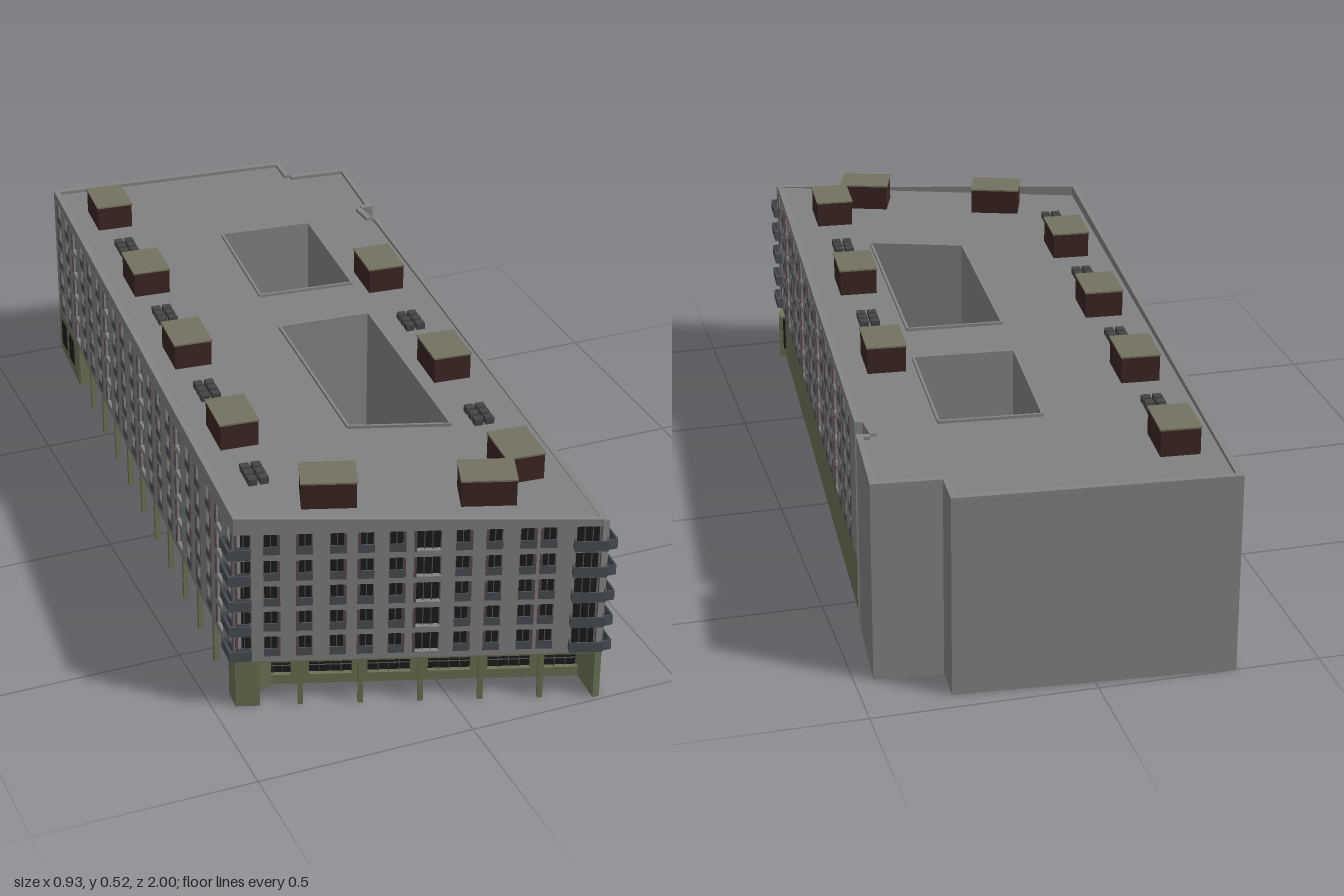
import * as THREE from 'three';
import { mergeGeometries } from 'three/addons/utils/BufferGeometryUtils.js';

const mat = (color) => new THREE.MeshStandardMaterial({ color, side: THREE.DoubleSide });
const M = {
  wall: mat(0x858383), roof: mat(0x808080), floor: mat(0x5a5a5a), green: mat(0x6b7355),
  brown: mat(0x3c2622), hatch: mat(0x74725f), glass: mat(0x1c1c1e), frame: mat(0x55555a),
  rail: mat(0x4a5058), shutter: mat(0x5a4a50), vent: mat(0x444446),
};
const T = 0.015;        // wall thickness
const ROOF = 0.46;
const RECESS = 0.08;    // depth of the ground floor arcade
const ROWS = [0.133, 0.198, 0.263, 0.328, 0.394];

// Footprint corners [x, z], counter-clockwise from the front left
const FOOT = [[-0.45, 0.73], [0.31, 0.99], [0.425, -0.54], [0.408, -0.542], [0.405, -0.605],
  [0.435, -0.6], [0.458, -0.845], [0.305, -0.86], [0.31, -0.95], [-0.31, -1]];
const COURTS = [
  [[0.015, -0.595], [0.245, -0.575], [0.22, -0.225], [-0.015, -0.245]],
  [[-0.03, -0.075], [0.195, -0.06], [0.16, 0.5], [-0.06, 0.425]],
];

function box(w, h, d, x, y, z) {
  return new THREE.BoxGeometry(w, h, d).translate(x, y, z);
}

function add(parent, name, geos, material) {
  if (!geos.length) return;
  const mesh = new THREE.Mesh(geos.length > 1 ? mergeGeometries(geos) : geos[0], material);
  mesh.name = name;
  parent.add(mesh);
}

// Group whose x runs from p to q and whose z points outwards
function along(name, p, q) {
  const g = new THREE.Group();
  g.name = name;
  g.position.set(p[0], 0, p[1]);
  g.rotation.y = Math.atan2(p[1] - q[1], q[0] - p[0]);
  g.userData.len = Math.hypot(q[0] - p[0], q[1] - p[1]);
  return g;
}

// Flat panel with a possibly sloping top and rectangular holes [x, y, w, h]
function panel(x0, x1, y0, yA, yB, holes = [], z = 0) {
  const s = new THREE.Shape([[x0, y0], [x1, y0], [x1, yB], [x0, yA]].map((c) => new THREE.Vector2(...c)));
  for (const [x, y, w, h] of holes) {
    s.holes.push(new THREE.Path([[x, y], [x, y + h], [x + w, y + h], [x + w, y]].map((c) => new THREE.Vector2(...c))));
  }
  return new THREE.ExtrudeGeometry(s, { depth: T, bevelEnabled: false }).translate(0, 0, z - T);
}

// Upper storeys: wall with openings, glass, frames, railings and shutters
function upperFacade(g, y0, yA, yB, columns) {
  const L = g.userData.len, h = 0.05;
  const holes = [], glass = [], frames = [], rails = [], shutters = [];
  ROWS.forEach((y) => columns.forEach(([u, w], i) => {
    holes.push([u - w / 2, y, w, h]);
    glass.push(box(w, h, 0.002, u, y + h / 2, -T + 0.002));
    const bars = w > 0.04 ? 3 : 2;
    for (let k = 0; k <= bars; k++) {
      frames.push(box(0.002, h, 0.003, u - w / 2 + 0.001 + (w - 0.002) * k / bars, y + h / 2, -0.008));
    }
    frames.push(box(w, 0.002, 0.003, u, y + h - 0.001, -0.008));
    if (w < 0.04) rails.push(box(w, 0.02, 0.003, u, y + 0.01, 0.001));
    const side = i % 2 ? 1 : -1;
    shutters.push(box(0.006, h, 0.003, u + side * (w / 2 + 0.001), y + h / 2, 0.001));
  }));
  add(g, 'upperWall', [panel(0, L, y0, yA, yB, holes)], M.wall);
  add(g, 'windowGlass', glass, M.glass);
  add(g, 'windowFrames', frames, M.frame);
  add(g, 'windowRailings', rails, M.rail);
  add(g, 'shutters', shutters, M.shutter);
}

// Corner balconies between u0 and u1: slab plus solid railing
function balconies(g, u0, u1) {
  const w = u1 - u0, c = (u0 + u1) / 2;
  add(g, 'balconies', ROWS.flatMap((y) => [
    box(w, 0.004, 0.016, c, y - 0.002, 0.008),
    box(w, 0.024, 0.003, c, y + 0.01, 0.015),
    box(0.003, 0.024, 0.016, u0, y + 0.01, 0.008),
    box(0.003, 0.024, 0.016, u1, y + 0.01, 0.008),
  ]), M.rail);
}

// Recessed green ground floor with shop windows [x, w], soffit and posts
function arcade(g, u0, u1, windows, posts, top) {
  const w = u1 - u0, c = (u0 + u1) / 2, y = 0.024, h = top - 0.03;
  const bars = [];
  const glass = windows.map(([x, ww]) => {
    for (const k of [-0.25, 0, 0.25]) bars.push(box(0.0015, h, 0.002, x + k * ww, y + h / 2, -RECESS - 0.005));
    bars.push(box(ww, 0.0015, 0.002, x, y + 0.022, -RECESS - 0.005));
    return box(ww, h, 0.002, x, y + h / 2, -RECESS - T + 0.003);
  });
  add(g, 'recessedWall', [panel(u0, u1, 0, top, top,
    windows.map(([x, ww]) => [x - ww / 2, y, ww, h]), -RECESS)], M.green);
  add(g, 'shopGlass', glass, M.glass);
  add(g, 'shopFrames', bars, M.frame);
  add(g, 'arcadeSoffit', [box(w, 0.004, RECESS, c, top - 0.002, -RECESS / 2)], M.green);
  add(g, 'arcadeEnds', [u0, u1].map((u) => box(0.006, top, RECESS, u, top / 2, -RECESS / 2)), M.green);
  add(g, 'posts', posts.map((x) => box(0.012, top, 0.012, x, top / 2, -0.007)), M.green);
}

const spread = (n, a, b) => Array.from({ length: n }, (_, i) => a + (b - a) * i / (n - 1));

// Footprint outline as a shape in (x, -z), to be tipped flat
const outline = (pts) => pts.map(([x, z]) => new THREE.Vector2(x, -z));

export function createModel() {
  const model = new THREE.Group();
  model.name = 'apartmentBlock';

  // Front
  const front = along('frontFacade', FOOT[0], FOOT[1]);
  const toU = (x) => (x + 0.45) / 0.946;
  const frontX = [-0.43, -0.375, -0.305, -0.24, -0.18, -0.12, -0.055, 0.015, 0.08, 0.145, 0.19, 0.27];
  upperFacade(front, 0.118, 0.485, ROOF, frontX.map((x) => [toU(x), x === -0.055 || x === 0.27 ? 0.055 : 0.032]));
  balconies(front, -0.012, 0.035);
  balconies(front, toU(0.24), toU(0.308));
  add(front, 'cornerPier', [panel(0, 0.045, 0, 0.118, 0.118)], M.green);
  arcade(front, 0.045, front.userData.len - 0.008,
    [-0.367, -0.248, -0.125, 0.002, 0.128, 0.248].map((x, i) => [toU(x), i ? 0.095 : 0.075]),
    [-0.405, -0.315, -0.19, -0.065, 0.06, 0.185, 0.303].map(toU), 0.118);
  model.add(front);

  // Right: plain green base under the windows
  const right = along('rightFacade', FOOT[1], FOOT[2]);
  upperFacade(right, 0.13, ROOF, 0.467, spread(18, 0.045, 1.43).map((u, i) => [u, i % 4 === 2 ? 0.045 : 0.034]));
  balconies(right, -0.01, 0.06);
  add(right, 'greenBase', [panel(0, right.userData.len, 0, 0.13, 0.13)], M.green);
  model.add(right);

  // Plain walls around the back
  for (let i = 2; i < 9; i++) {
    const g = along('blankWall', FOOT[i], FOOT[i + 1]);
    add(g, 'blankWallPanel', [panel(0, g.userData.len, 0, 0.467, 0.467)], M.wall);
    model.add(g);
  }

  // Left
  const left = along('leftFacade', FOOT[9], FOOT[0]);
  const LL = left.userData.len;
  upperFacade(left, 0.118, 0.467, 0.485, spread(20, 0.06, LL - 0.03).map((u, i) => [u, i % 4 === 2 ? 0.045 : 0.034]));
  balconies(left, LL - 0.05, LL + 0.01);
  add(left, 'greenBase', [panel(0, 0.22, 0, 0.118, 0.118), panel(LL - 0.045, LL, 0, 0.118, 0.118)], M.green);
  add(left, 'baseWindows', [0.06, 0.145].map((u) => box(0.05, 0.07, 0.003, u, 0.065, 0.001)), M.glass);
  const posts = spread(12, 0.225, LL - 0.05);
  arcade(left, 0.22, LL - 0.045, posts.slice(0, -1).map((u) => [u + 0.066, 0.09]), posts, 0.118);
  model.add(left);

  // Roof slab pierced by the two courtyards
  const roofShape = new THREE.Shape(outline(FOOT));
  COURTS.forEach((c) => roofShape.holes.push(new THREE.Path(outline(c))));
  const slab = new THREE.ExtrudeGeometry(roofShape, { depth: 0.008, bevelEnabled: false });
  add(model, 'roof', [slab.rotateX(-Math.PI / 2).translate(0, ROOF - 0.009, 0)], M.roof);

  // Courtyard walls with a low curb, and floors
  for (const c of COURTS) {
    c.forEach((p, i) => {
      const g = along('courtyardWall', p, c[(i + 1) % 4]);
      const L = g.userData.len;
      add(g, 'courtyardWallPanel', [box(L, ROOF + 0.006 - 0.125, 0.006, L / 2, (ROOF + 0.006 + 0.125) / 2, 0)], M.wall);
      model.add(g);
    });
    const floor = new THREE.ShapeGeometry(new THREE.Shape(outline(c))).rotateX(-Math.PI / 2);
    add(model, 'courtyardFloor', [floor.translate(0, 0.126, 0)], M.floor);
  }

  // Roof housings [x, z, turn]: brown box with a lighter lid
  const side = -0.075, slant = -0.33;
  for (const [x, z, turn] of [[-0.22, -0.8, side], [-0.252, -0.415, side], [-0.282, -0.032, side], [-0.312, 0.355, side],
    [0.29, -0.222, side], [0.254, 0.25, side], [0.215, 0.72, side],
    [-0.215, 0.685, slant + Math.PI / 2], [0.108, 0.802, slant + Math.PI / 2]]) {
    const g = new THREE.Group();
    g.name = 'roofHousing';
    g.position.set(x, 0, z);
    g.rotation.y = turn;
    add(g, 'housingBody', [box(0.088, 0.064, 0.12, 0, 0.488, 0)], M.brown);
    add(g, 'housingLid', [box(0.092, 0.004, 0.124, 0, 0.522, 0)], M.hatch);
    model.add(g);
  }

  // Roof vents in clusters of two by three
  for (const [x, z] of [[-0.237, -0.612], [-0.268, -0.23], [-0.3, 0.157], [-0.331, 0.543], [0.273, 0.017], [0.235, 0.488]]) {
    const g = new THREE.Group();
    g.name = 'roofVents';
    g.position.set(x, 0, z);
    g.rotation.y = side;
    const vents = [];
    for (const i of [-1, 1]) for (const j of [-1, 0, 1]) vents.push(box(0.02, 0.016, 0.02, i * 0.013, 0.467, j * 0.027));
    add(g, 'ventBoxes', vents, M.vent);
    model.add(g);
  }
  return model;
}
